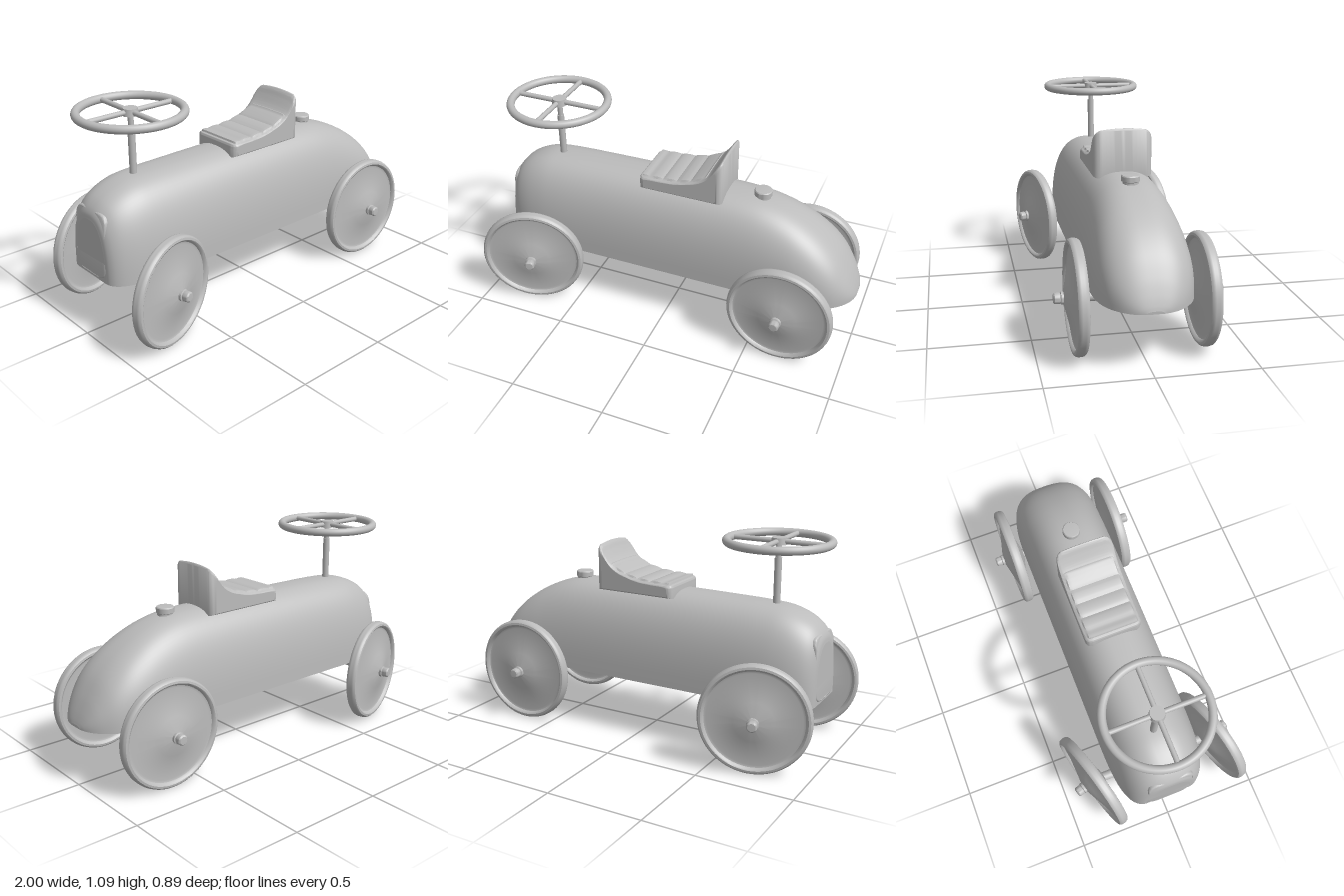
import * as THREE from 'three';
import { toCreasedNormals } from 'three/addons/utils/BufferGeometryUtils.js';

// Skin a list of cross-sections (each a list of [x, y, z] points)
function loft(rings) {
  const n = rings[0].length, index = [];
  for (let i = 0; i < rings.length - 1; i++) {
    for (let j = 0; j < n - 1; j++) {
      const a = i * n + j, b = a + 1, c = a + n, d = c + 1;
      index.push(a, c, b, b, c, d);
    }
  }
  const g = new THREE.BufferGeometry();
  g.setAttribute('position', new THREE.Float32BufferAttribute(rings.flat(2), 3));
  g.setIndex(index);
  g.computeVertexNormals();
  return g;
}

export function createModel() {
  const model = new THREE.Group();
  const grey = new THREE.MeshStandardMaterial({ color: 0xbcbcbc });
  grey.name = 'grey';

  function add(name, geometry, parent = model, x = 0, y = 0, z = 0) {
    const mesh = new THREE.Mesh(geometry, grey);
    mesh.name = name;
    mesh.position.set(x, y, z);
    parent.add(mesh);
    return mesh;
  }
  const group = (name, x, y, z) => {
    const g = new THREE.Group();
    g.name = name;
    g.position.set(x, y, z);
    model.add(g);
    return g;
  };

  // Body: arched sections along x, each given as (x, top height, half width)
  const floor = 0.305, sides = 40;
  const stations = [
    [-0.947, 0.6, 0.12], [-0.942, 0.63, 0.145], [-0.925, 0.662, 0.172], [-0.89, 0.698, 0.198],
    [-0.83, 0.732, 0.22], [-0.75, 0.757, 0.233], [-0.65, 0.766, 0.239], [-0.4, 0.772, 0.24],
    [-0.1, 0.775, 0.24], [0.2, 0.775, 0.24], [0.4, 0.769, 0.24], [0.5, 0.756, 0.24],
    [0.6, 0.728, 0.24], [0.7, 0.683, 0.239], [0.8, 0.618, 0.228], [0.88, 0.542, 0.201],
    [0.94, 0.453, 0.157], [0.975, 0.384, 0.113], [0.993, 0.34, 0.073], [1, 0.318, 0.04],
  ].map((s) => new THREE.Vector3(...s));
  const power = (v) => Math.sign(v) * Math.abs(v) ** (2 / 2.6);
  const spine = new THREE.CatmullRomCurve3(stations).getPoints(95);
  const arches = spine.map((s) => Array.from({ length: sides + 1 }, (_, j) => {
    const a = Math.PI * j / sides;
    return [s.x, floor + (s.y - floor) * power(Math.max(0, Math.sin(a))), s.z * power(Math.cos(a))];
  }));
  const endCap = (arch, flip) => loft(arch.slice(0, sides / 2 + 1).map((p, j) => {
    const pair = [p, arch[sides - j]];
    return flip ? pair.reverse() : pair;
  }));
  const body = group('body', 0, 0, 0);
  add('bodyShell', loft(arches), body);
  add('bodyFloor', loft(spine.map((s) => [[s.x, floor, -s.z], [s.x, floor, s.z]])), body);
  add('bodyNose', endCap(arches[0], false), body);
  add('bodyTail', endCap(arches[arches.length - 1], true), body);

  // Grille: rounded plate bent around the nose
  const w = 0.122, y0 = 0.32, y1 = 0.65, r = 0.06;
  const outline = new THREE.Shape();
  outline.moveTo(-w + r, y0);
  outline.lineTo(w - r, y0);
  outline.quadraticCurveTo(w, y0, w, y0 + r);
  outline.lineTo(w, y1 - r);
  outline.quadraticCurveTo(w, y1, w - r, y1);
  outline.lineTo(-w + r, y1);
  outline.quadraticCurveTo(-w, y1, -w, y1 - r);
  outline.lineTo(-w, y0 + r);
  outline.quadraticCurveTo(-w, y0, -w + r, y0);
  const plate = new THREE.ExtrudeGeometry(outline, {
    depth: 0.02, bevelThickness: 0.006, bevelSize: 0.006, bevelOffset: -0.006, bevelSegments: 3, curveSegments: 10,
  });
  plate.rotateY(-Math.PI / 2);
  const pp = plate.attributes.position;
  for (let i = 0; i < pp.count; i++) {
    pp.setX(i, pp.getX(i) + 0.7 * pp.getZ(i) ** 2 + Math.max(0, pp.getY(i) - 0.5) ** 2);
  }
  add('grille', toCreasedNormals(plate, 0.6), body, -0.932);

  // Filler cap behind the seat
  const cap = [[0, 0], [0.04, 0], [0.04, 0.03], [0.046, 0.034], [0.046, 0.058], [0.042, 0.063], [0, 0.066]];
  add('fillerCap', toCreasedNormals(new THREE.LatheGeometry(cap.map((p) => new THREE.Vector2(...p)), 32), 0.6),
    body, 0.46, 0.737, 0);

  // Seat: side profile swept across z, rounded at the flanks, ribbed on top
  const seat = group('seat', 0, 0, 0);
  const backrest = new THREE.CatmullRomCurve3([
    [-0.168, 0.785], [-0.163, 0.81], [-0.14, 0.815], [-0.05, 0.818], [0.03, 0.824], [0.1, 0.838], [0.16, 0.862],
    [0.21, 0.9], [0.245, 0.948], [0.265, 0.982], [0.276, 0.991], [0.283, 0.98],
  ].map(([x, y]) => new THREE.Vector3(x, y, 0))).getPoints(90);
  const seatSlice = (u) => {
    const edge = Math.max(0, (Math.abs(u) - 0.75) / 0.25);
    const c = 1 - Math.sqrt(1 - edge * edge);
    const top = backrest.map((p) => {
      const onRibs = p.x > -0.15 && p.x < 0.2 && Math.abs(u) < 0.9;
      const rib = onRibs ? 0.009 * Math.sqrt(Math.abs(Math.sin(Math.PI * (p.x + 0.11) / 0.075))) : 0;
      const y = p.y + rib - Math.max(0, p.y - 0.84) * (0.1 * u * u + 0.25 * c) - 0.012 * c;
      return [p.x + (0.05 - p.x) * 0.13 * c, y, 0.15 * u];
    });
    const base = top.map(([x, , z]) => [x, 0.742 + 0.012 * c, z]);
    return { top, base, ring: [...top, ...base.slice().reverse(), top[0]] };
  };
  const us = Array.from({ length: 37 }, (_, i) => Math.sin(Math.PI * (i / 36 - 0.5)));
  const slices = us.map(seatSlice);
  add('seatShell', toCreasedNormals(loft(slices.map((s) => s.ring)), 0.7), seat);
  for (const side of [-1, 1]) {
    const s = slices[side > 0 ? slices.length - 1 : 0];
    add('seatFlank', loft(s.top.map((t, i) => (side > 0 ? [s.base[i], t] : [t, s.base[i]]))), seat);
  }

  // Steering wheel on its column
  const steering = group('steering', -0.68, 0, 0);
  add('steeringColumn', new THREE.CylinderGeometry(0.018, 0.018, 0.26, 20), steering, 0, 0.86, 0);
  add('steeringShaft', new THREE.CylinderGeometry(0.014, 0.014, 0.1, 20), steering, 0, 1.03, 0);
  add('steeringHub', new THREE.CylinderGeometry(0.036, 0.04, 0.035, 28), steering, 0, 1.072, 0);
  add('steeringRim', new THREE.TorusGeometry(0.254, 0.021, 16, 72).rotateX(Math.PI / 2), steering, 0, 1.071, 0);
  const spoke = new THREE.CylinderGeometry(0.013, 0.013, 0.5, 14);
  add('steeringSpoke', spoke.clone().rotateX(Math.PI / 2), steering, 0, 1.071, 0);
  add('steeringSpoke', spoke.clone().rotateZ(Math.PI / 2), steering, 0, 1.071, 0);

  // Wheels: double-coned discs with a raised rim; the front pair is steered
  const half = [[0, 0.06], [0.03, 0.058], [0.1, 0.04], [0.232, 0.009], [0.243, 0.012], [0.249, 0.024],
    [0.256, 0.028], [0.267, 0.026], [0.274, 0.019], [0.277, 0.008]];
  const profile = [...half.map(([x, y]) => [x, -y]), ...half.slice().reverse()];
  const disc = toCreasedNormals(
    new THREE.LatheGeometry(profile.map((p) => new THREE.Vector2(...p)), 64).rotateX(Math.PI / 2), 0.6);
  const hubProfile = [[0.03, 0.04], [0.03, 0.07], [0.024, 0.073], [0.027, 0.079], [0.026, 0.1], [0.02, 0.106], [0, 0.107]];
  const hub = toCreasedNormals(
    new THREE.LatheGeometry(hubProfile.map((p) => new THREE.Vector2(...p)), 24).rotateX(Math.PI / 2), 0.6);
  const axles = [['front', -0.728, 0.34, 0.285], ['rear', 0.665, 0.303, 0]];
  for (const [name, x, track, steer] of axles) {
    add(name + 'Axle', new THREE.CylinderGeometry(0.024, 0.024, track * 2, 24).rotateX(Math.PI / 2), model, x, 0.277, 0);
    for (const side of [-1, 1]) {
      const wheel = group(name + (side > 0 ? 'WheelOuterA' : 'WheelOuterB'), x, 0.277, side * track);
      wheel.rotation.y = steer + (side < 0 ? Math.PI : 0);
      add('wheelDisc', disc, wheel);
      add('wheelHub', hub, wheel);
    }
  }
  return model;
}
